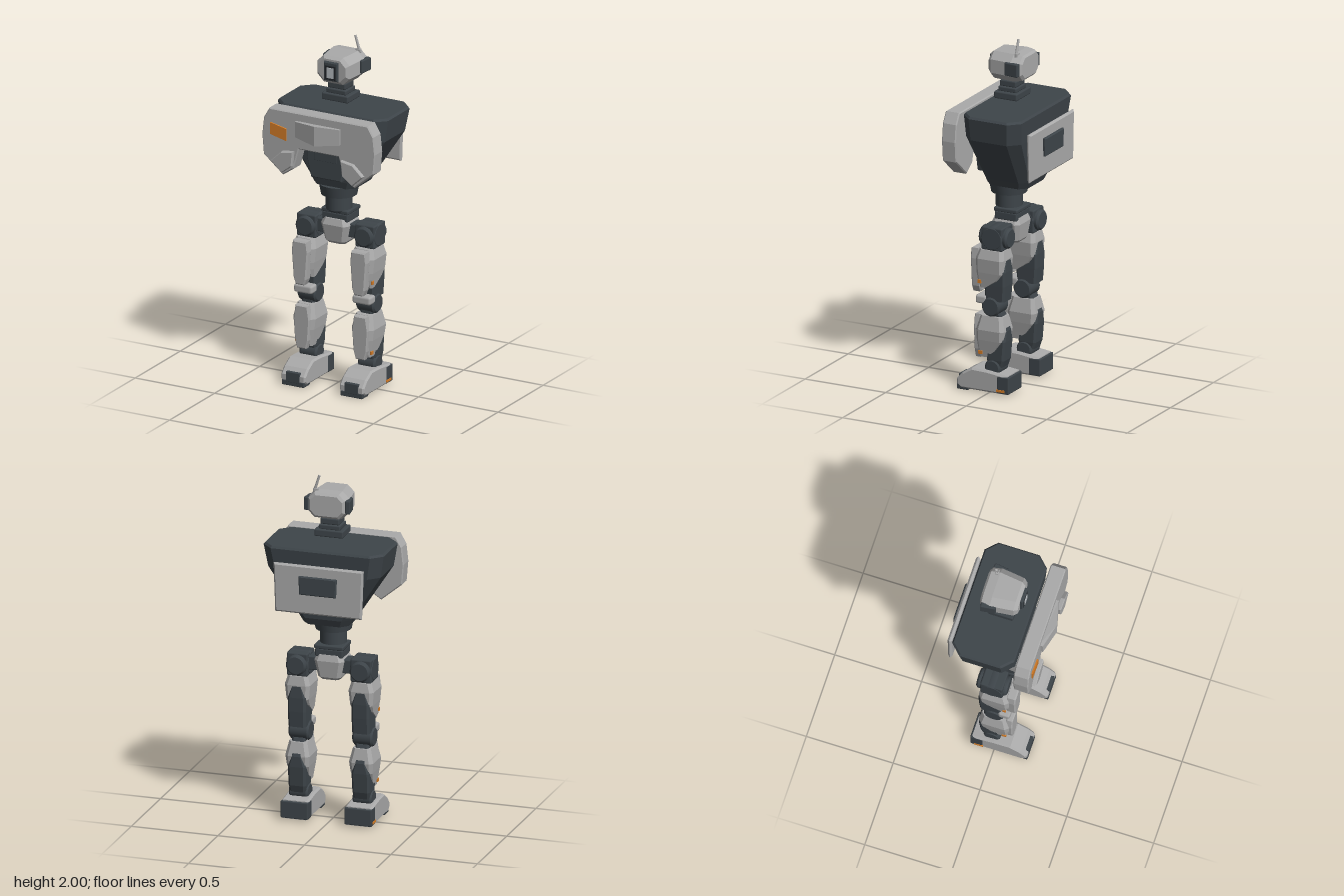
import * as THREE from 'three';
import { RoundedBoxGeometry } from 'three/addons/geometries/RoundedBoxGeometry.js';

const paint = (name, color) => {
  const m = new THREE.MeshStandardMaterial({ color });
  m.name = name;
  return m;
};

// Stack of chamfered rectangles: [y, halfWidth, zFront, zBack, chamfer]
function loft(rings) {
  const pos = [];
  const loops = rings.map(([y, w, f, b, c]) => [
    [w, y, b + c], [w, y, f - c], [w - c, y, f], [c - w, y, f],
    [-w, y, f - c], [-w, y, b + c], [c - w, y, b], [w - c, y, b]]);
  const tri = (...p) => p.forEach(v => pos.push(...v));
  for (let k = 0; k < loops.length - 1; k++) {
    const L = loops[k], U = loops[k + 1];
    for (let i = 0; i < 8; i++) {
      const j = (i + 1) % 8;
      tri(L[i], U[i], L[j]);
      tri(L[j], U[i], U[j]);
    }
  }
  const A = loops[0], Z = loops[loops.length - 1];
  for (let i = 1; i < 7; i++) {
    tri(A[0], A[i], A[i + 1]);
    tri(Z[0], Z[i + 1], Z[i]);
  }
  const g = new THREE.BufferGeometry();
  g.setAttribute('position', new THREE.Float32BufferAttribute(pos, 3));
  g.computeVertexNormals();
  return g;
}

// Outline extruded from z0 to z1, bevelled inside its own outline
function slab(points, z0, z1, bevel = 0) {
  const shape = new THREE.Shape(points.map(p => new THREE.Vector2(...p)));
  const g = new THREE.ExtrudeGeometry(shape, {
    depth: z1 - z0 - 2 * bevel, bevelEnabled: bevel > 0, bevelThickness: bevel,
    bevelSize: bevel, bevelOffset: -bevel, bevelSegments: 1, curveSegments: 4 });
  return g.translate(0, 0, z0 + bevel);
}

// Half outline (from top centre outwards to the bottom) mirrored across x
const mirror = half => [...half, ...half.map(([x, y]) => [-x, y]).reverse()];

// Box given by its limits
function box(x0, x1, y0, y1, z0, z1, r = 0.008) {
  return new RoundedBoxGeometry(x1 - x0, y1 - y0, z1 - z0, 1, r)
    .translate((x0 + x1) / 2, (y0 + y1) / 2, (z0 + z1) / 2);
}

// Drum with bevelled rims along x, y or z
function drum(axis, r, len, y, z) {
  const h = len / 2, b = Math.min(0.01, len / 4);
  const g = new THREE.LatheGeometry([[0, -h], [r - b, -h], [r - b, -h], [r, b - h], [r, b - h],
    [r, h - b], [r, h - b], [r - b, h], [r - b, h], [0, h]].map(p => new THREE.Vector2(...p)), 28);
  if (axis === 'x') g.rotateZ(Math.PI / 2);
  if (axis === 'z') g.rotateX(Math.PI / 2);
  return g.translate(0, y, z);
}

export function createModel() {
  const light = paint('light grey armour', 0xaaaaaa);
  const dark = paint('dark frame', 0x3e454a);
  const black = paint('black trim', 0x22262a);
  const orange = paint('orange marking', 0xd67e28);
  const lens = paint('pale lens', 0xb9bec2);

  const root = new THREE.Group();
  root.name = 'robot';
  const group = name => {
    const g = new THREE.Group();
    g.name = name;
    root.add(g);
    return g;
  };
  const add = (parent, name, geometry, material) => {
    const m = new THREE.Mesh(geometry, material);
    m.name = name;
    parent.add(m);
    return m;
  };

  // Torso
  const torso = group('torso');
  add(torso, 'torsoShell', loft([
    [1.16, 0.13, 0.085, -0.165, 0.04], [1.2, 0.15, 0.095, -0.182, 0.045],
    [1.47, 0.325, 0.126, -0.217, 0.06], [1.598, 0.347, 0.128, -0.23, 0.06],
    [1.61, 0.338, 0.12, -0.222, 0.057]]), dark);
  add(torso, 'abdomenPanel', slab(mirror([[0.12, 1.4], [0.122, 1.34], [0.095, 1.22]]), 0.07, 0.148, 0.006), dark);
  add(torso, 'abdomenInset', box(-0.072, 0.072, 1.325, 1.372, 0.145, 0.152, 0.002), dark);
  add(torso, 'chestPlate', slab(mirror([[0.31, 1.61], [0.345, 1.55], [0.356, 1.45], [0.346, 1.335],
    [0.225, 1.235], [0.158, 1.28], [0.125, 1.4]]), 0.143, 0.23, 0.006), light);

  // Wedge on the chest, taller in the middle
  const wedge = slab([[-0.14, 0.22], [0.14, 0.22], [0.14, 0.245], [0, 0.279], [-0.14, 0.245]], -0.045, 0.045)
    .rotateX(Math.PI / 2);
  const wp = wedge.attributes.position;
  for (let i = 0; i < wp.count; i++) {
    const mid = 1 - Math.abs(wp.getX(i)) / 0.14;
    wp.setY(i, 1.518 + wp.getY(i) + (wp.getY(i) > 0 ? 0.006 : -0.018) * mid);
  }
  wedge.computeVertexNormals();
  add(torso, 'chestWedge', wedge, light);
  for (const s of [-1, 1]) {
    add(torso, 'lowerChestPad', slab([[0.29, 1.315], [0.225, 1.375], [0.15, 1.388], [0.158, 1.3], [0.222, 1.252]]
      .map(([x, y]) => [s * x, y]), 0.225, 0.253, 0.005), light);
  }
  add(torso, 'chestMarking', slab([[-0.3, 1.53], [-0.3, 1.462], [-0.2, 1.438], [-0.2, 1.508]], 0.23, 0.238), orange);
  add(torso, 'backPlate', slab(mirror([[0.26, 1.53], [0.25, 1.25]]), -0.268, -0.243, 0.01), light);
  add(torso, 'backPanel', slab(mirror([[0.11, 1.47], [0.105, 1.365]]), -0.283, -0.262, 0.005), dark);

  // Neck and head
  const head = group('head');
  add(head, 'neckBase', box(-0.083, 0.083, 1.645, 1.686, -0.09, 0.053), dark);
  add(head, 'neckRing', box(-0.062, 0.062, 1.683, 1.712, -0.075, 0.038), dark);
  add(head, 'neckTop', box(-0.055, 0.055, 1.712, 1.748, -0.07, 0.032), dark);
  add(head, 'headShell', loft([
    [-0.132, 0.092, 0.055, -0.062, 0.03], [-0.12, 0.105, 0.068, -0.074, 0.035],
    [-0.07, 0.116, 0.078, -0.08, 0.04], [0.062, 0.1, 0.08, -0.077, 0.04],
    [0.082, 0.085, 0.06, -0.062, 0.035]]).rotateX(Math.PI / 2).translate(0, 1.835, 0), light);
  for (const s of [-1, 1]) {
    const ear = add(head, 'earPod', new RoundedBoxGeometry(0.03, 0.076, 0.086, 1, 0.007), dark);
    ear.position.set(s * 0.115, 1.838, -0.078);
    ear.rotation.y = -s * 0.12;
  }
  add(head, 'eyeHousing', slab(mirror([[0.044, 1.886], [0.044, 1.777]]), 0.06, 0.098, 0.006), dark);
  add(head, 'eyeRim', box(-0.034, 0.034, 1.785, 1.866, 0.094, 0.1, 0.002), black);
  add(head, 'eyeLens', box(-0.022, 0.022, 1.794, 1.855, 0.096, 0.103, 0.002), lens);
  add(head, 'antennaBase', box(0.058, 0.088, 1.9, 1.924, -0.095, -0.077, 0.004), light);
  const antenna = add(head, 'antenna', new THREE.CylinderGeometry(0.007, 0.008, 0.086, 8), light);
  antenna.position.set(0.066, 1.957, -0.086);
  antenna.rotation.z = 0.3;

  // Waist and pelvis
  const waist = group('waist');
  add(waist, 'waistCone', new THREE.CylinderGeometry(0.112, 0.1, 0.062, 28).translate(0, 1.13, 0), dark);
  add(waist, 'waistColumn', drum('y', 0.074, 0.11, 1.06, 0), dark);
  add(waist, 'waistCollar', box(-0.085, 0.085, 0.995, 1.02, -0.092, 0.054), dark);
  add(waist, 'waistBase', box(-0.08, 0.08, 0.95, 0.997, -0.087, 0.05), dark);
  add(waist, 'pelvis', loft([
    [0.82, 0.055, 0.045, -0.075, 0.018], [0.835, 0.066, 0.058, -0.088, 0.02],
    [0.93, 0.085, 0.072, -0.1, 0.022], [0.966, 0.07, 0.06, -0.09, 0.02]]), light);
  add(waist, 'hipBar', box(-0.13, 0.13, 0.86, 0.94, -0.065, 0.025), dark);

  // Legs
  for (const s of [-1, 1]) {
    const leg = group(s > 0 ? 'leftLeg' : 'rightLeg');
    leg.position.x = s * 0.184;
    const mark = (name, x, y0, y1, z0, z1) =>
      add(leg, name, box(s * x - 0.004, s * x + 0.004, y0, y1, z0, z1, 0.001), orange);

    add(leg, 'hipBlock', box(-0.061, 0.061, 0.822, 0.956, -0.085, 0.045, 0.01), dark);
    add(leg, 'hipSideDrum', drum('x', 0.069, 0.126, 0.89, -0.02), dark);
    add(leg, 'hipFrontDrum', drum('z', 0.058, 0.175, 0.89, -0.022), dark);

    add(leg, 'thighCore', loft([
      [0.53, 0.05, 0.03, -0.09, 0.012], [0.62, 0.052, 0.032, -0.097, 0.012],
      [0.7, 0.052, 0.03, -0.098, 0.012], [0.765, 0.035, 0.03, -0.094, 0.012]]), dark);
    add(leg, 'thighShell', loft([
      [0.6, 0.052, 0.058, 0.015, 0.01], [0.65, 0.059, 0.075, -0.06, 0.016],
      [0.69, 0.065, 0.08, -0.088, 0.018], [0.77, 0.073, 0.08, -0.093, 0.02],
      [0.822, 0.058, 0.065, -0.085, 0.02]]), light);
    add(leg, 'thighPlate', slab(mirror([[0.045, 0.82], [0.052, 0.76], [0.04, 0.6], [0.026, 0.565]]), 0.06, 0.116, 0.008), light);
    mark('thighMarking', 0.058, 0.625, 0.645, 0.045, 0.065);

    add(leg, 'kneeDrum', drum('x', 0.056, 0.116, 0.495, -0.01), dark);
    add(leg, 'kneeCap', box(-0.058, 0.058, 0.505, 0.555, 0.015, 0.085, 0.015), light);

    add(leg, 'shinCore', loft([
      [0.15, 0.045, 0.015, -0.075, 0.012], [0.19, 0.05, 0.02, -0.088, 0.012],
      [0.3, 0.052, 0.03, -0.097, 0.012], [0.36, 0.035, 0.03, -0.097, 0.012],
      [0.46, 0.04, 0.03, -0.06, 0.012]]), dark);
    add(leg, 'shinShell', loft([
      [0.2, 0.047, 0.065, 0.01, 0.01], [0.24, 0.053, 0.073, -0.045, 0.015],
      [0.3, 0.063, 0.08, -0.085, 0.018], [0.36, 0.07, 0.08, -0.094, 0.02],
      [0.44, 0.052, 0.06, -0.078, 0.018]]), light);
    add(leg, 'shinPlate', slab(mirror([[0.038, 0.44], [0.05, 0.36], [0.042, 0.24], [0.028, 0.19]]), 0.058, 0.097, 0.006), light);
    mark('shinMarking', 0.052, 0.216, 0.236, 0.04, 0.065);

    add(leg, 'ankleDrum', drum('x', 0.048, 0.11, 0.145, -0.02), dark);

    // Foot: side profile extruded across the width
    const foot = slab([[-0.125, 0.01], [0.165, 0.01], [0.19, 0.03], [0.19, 0.062], [0.155, 0.1],
      [0.095, 0.135], [0, 0.132], [-0.125, 0.117]], -0.077, 0.077, 0.01).rotateY(-Math.PI / 2);
    add(leg, 'foot', foot, light);
    add(leg, 'toePad', box(-0.044, 0.044, 0.02, 0.08, 0.12, 0.193, 0.004), dark);
    add(leg, 'toeSole', box(-0.07, 0.07, 0, 0.03, 0.12, 0.192, 0.005), dark);
    add(leg, 'heelBlock', box(-0.079, 0.079, 0.013, 0.112, -0.135, -0.062, 0.007), dark);
    mark('heelMarking', 0.078, 0.022, 0.036, -0.112, -0.06);
  }
  return root;
}
